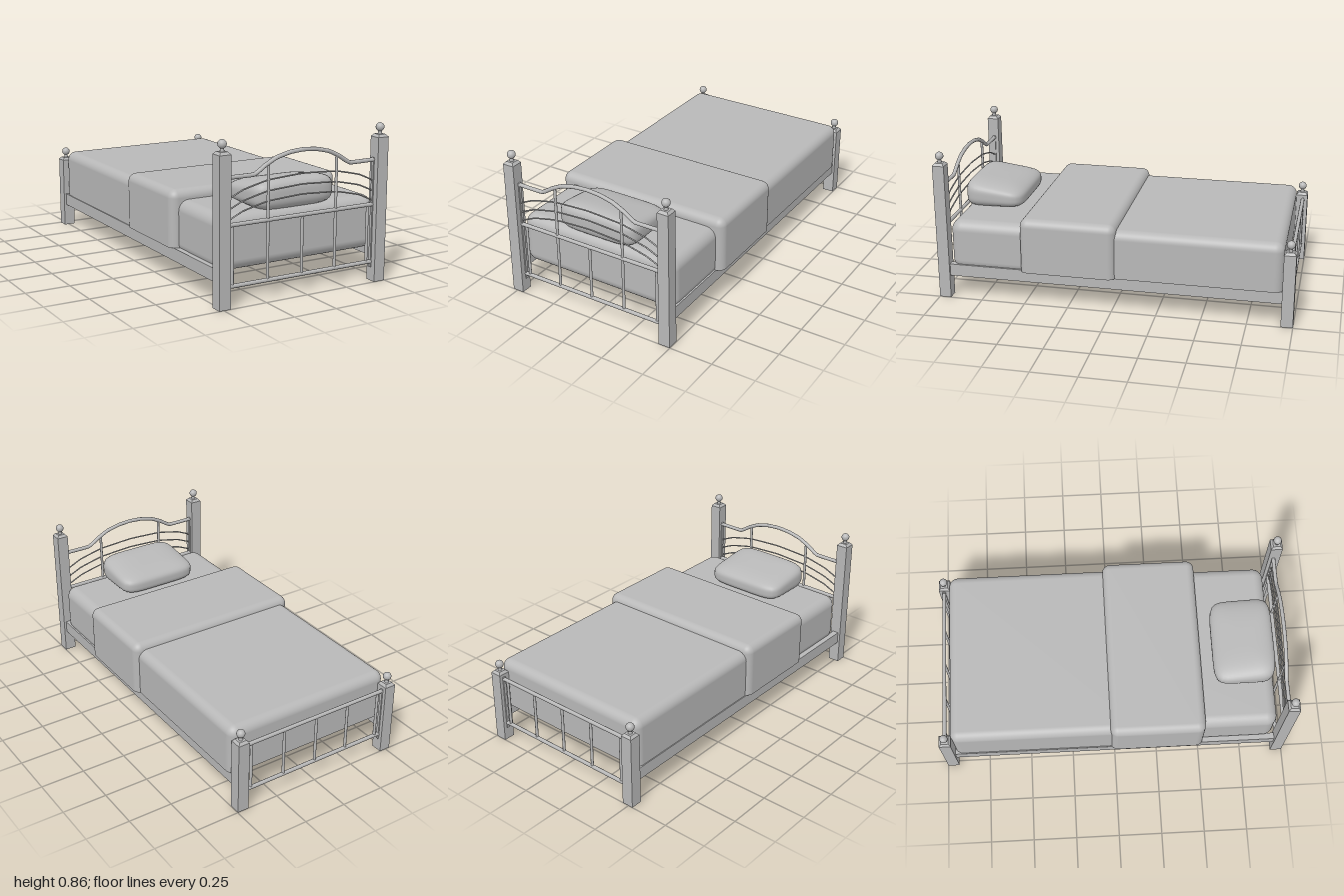
import * as THREE from 'three';
import { RoundedBoxGeometry } from 'three/addons/geometries/RoundedBoxGeometry.js';
import { mergeVertices } from 'three/addons/utils/BufferGeometryUtils.js';

const grey = new THREE.MeshStandardMaterial({ color: 0xb8b8b8 });
grey.name = 'grey';

function add(parent, name, geometry, x = 0, y = 0, z = 0) {
  const mesh = new THREE.Mesh(geometry, grey);
  mesh.name = name;
  mesh.position.set(x, y, z);
  parent.add(mesh);
  return mesh;
}

// Tube through points in the x/y plane
function bar(parent, name, points, radius, z) {
  const pts = points.map(([x, y]) => new THREE.Vector3(x, y, z));
  const path = pts.length === 2 ? new THREE.LineCurve3(...pts)
    : new THREE.CatmullRomCurve3(pts, false, 'catmullrom', 0.15);
  add(parent, name, new THREE.TubeGeometry(path, pts.length === 2 ? 1 : 48, radius, 10), 0, 0, 0);
}

// Mirrors a half path that ends on the centre line
const mirrored = half => [...half, ...half.slice(0, -1).reverse().map(([x, y]) => [-x, y])];

// Square post with chamfered cap, neck and ball
function post(parent, x, z, height) {
  const g = new THREE.Group();
  g.name = 'post';
  g.position.set(x, 0, z);
  parent.add(g);
  add(g, 'postBody', new THREE.BoxGeometry(0.066, height, 0.066), 0, height / 2, 0);
  const cap = new THREE.CylinderGeometry(0.021 * Math.SQRT2, 0.033 * Math.SQRT2, 0.014, 4).toNonIndexed();
  cap.rotateY(Math.PI / 4);
  cap.computeVertexNormals();
  add(g, 'postCap', cap, 0, height + 0.007, 0);
  add(g, 'postNeck', new THREE.CylinderGeometry(0.009, 0.012, 0.024, 16), 0, height + 0.022, 0);
  add(g, 'postBall', new THREE.SphereGeometry(0.023, 20, 14), 0, height + 0.051, 0);
}

// Rails, spindles and end brackets shared by both bed ends
function endPanel(parent, z, topRail, bracketTop) {
  for (const y of [0.105, topRail]) bar(parent, 'crossRail', [[-0.45, y], [0.45, y]], 0.011, z);
  for (let i = -2; i <= 2; i++)
    bar(parent, 'spindle', [[i * 0.208, 0.105], [i * 0.208, topRail]], 0.008, z);
  for (const s of [-1, 1])
    add(parent, 'bracket', new THREE.BoxGeometry(0.008, bracketTop - 0.075, 0.016),
      s * 0.444, (bracketTop + 0.075) / 2, z);
}

// Cloth cover: rounded above, cut off flat below
function cover(parent, name, width, z0, z1, y0, y1, radius) {
  const geo = new RoundedBoxGeometry(width, y1 - y0 + radius, z1 - z0, 6, radius);
  geo.translate(0, (y1 + y0 - radius) / 2, (z0 + z1) / 2);
  const p = geo.attributes.position, n = geo.attributes.normal;
  for (let i = 0; i < p.count; i += 3) {
    let low = 0;
    for (let j = i; j < i + 3; j++)
      if (p.getY(j) < y0 + 1e-4) { p.setY(j, y0); low++; }
    if (low === 3) for (let j = i; j < i + 3; j++) n.setXYZ(j, 0, -1, 0);
  }
  add(parent, name, geo);
}

// Puffy pillow, thicker toward the headboard
function pillowGeometry() {
  let geo = new THREE.SphereGeometry(1, 56, 36);
  geo.deleteAttribute('uv');
  geo.deleteAttribute('normal');
  geo = mergeVertices(geo);
  const p = geo.attributes.position, v = new THREE.Vector3();
  for (let i = 0; i < p.count; i++) {
    v.fromBufferAttribute(p, i);
    const plan = (Math.abs(v.x) ** 6 + Math.abs(v.z) ** 6) ** (1 / 6);
    v.divideScalar((plan ** 3.4 + Math.abs(v.y) ** 3.4) ** (1 / 3.4));
    const thick = 0.076 + 0.018 * v.z;
    p.setXYZ(i, v.x * 0.245, 0.516 + 0.01 * v.z + v.y * thick, 0.755 + v.z * 0.175);
  }
  geo.computeVertexNormals();
  return geo;
}

export function createModel() {
  const model = new THREE.Group();
  model.name = 'bed';

  const frame = new THREE.Group();
  frame.name = 'frame';
  frame.position.x = -0.0145;
  model.add(frame);

  // Posts and side rails
  for (const s of [-1, 1]) {
    post(frame, s * 0.4795, 0.967, 0.782);
    post(frame, s * 0.4795, -0.967, 0.417);
    add(frame, 'sideRail', new THREE.BoxGeometry(0.036, 0.07, 1.9), s * 0.481, 0.165, 0);
  }

  // Slats under the mattress
  for (let i = 0; i < 6; i++) {
    const z = -0.74 + i * 0.3;
    bar(frame, 'slat', [[-0.475, 0.157], [0.475, 0.157]], 0.009, z);
  }

  // Headboard
  const headboard = new THREE.Group();
  headboard.name = 'headboard';
  frame.add(headboard);
  endPanel(headboard, 0.962, 0.42, 0.672);
  bar(headboard, 'archedRail', mirrored([[-0.45, 0.661], [-0.292, 0.661], [-0.225, 0.702],
    [-0.16, 0.734], [-0.08, 0.753], [0, 0.759]]), 0.011, 0.962);
  for (const y of [0.636, 0.58, 0.528])
    bar(headboard, 'thinArc', mirrored([[-0.446, y - 0.086], [-0.355, y - 0.045],
      [-0.21, y - 0.012], [0, y]]), 0.004, 0.962);
  for (const s of [-1, 1])
    bar(headboard, 'upperSpindle', [[s * 0.208, 0.42], [s * 0.208, 0.71]], 0.008, 0.962);

  // Footboard
  const footboard = new THREE.Group();
  footboard.name = 'footboard';
  frame.add(footboard);
  endPanel(footboard, -0.972, 0.388, 0.4);

  // Bedding
  const bedding = new THREE.Group();
  bedding.name = 'bedding';
  bedding.position.x = -0.004;
  model.add(bedding);
  add(bedding, 'mattress', new RoundedBoxGeometry(0.968, 0.292, 1.85, 6, 0.06), 0, 0.311, 0.003);
  cover(bedding, 'blanket', 1.008, -0.935, 0.15, 0.2, 0.475, 0.05);
  cover(bedding, 'foldedBlanket', 1.054, -0.025, 0.515, 0.2, 0.511, 0.045);
  add(bedding, 'pillow', pillowGeometry(), -0.01, 0, 0);

  return model;
}
